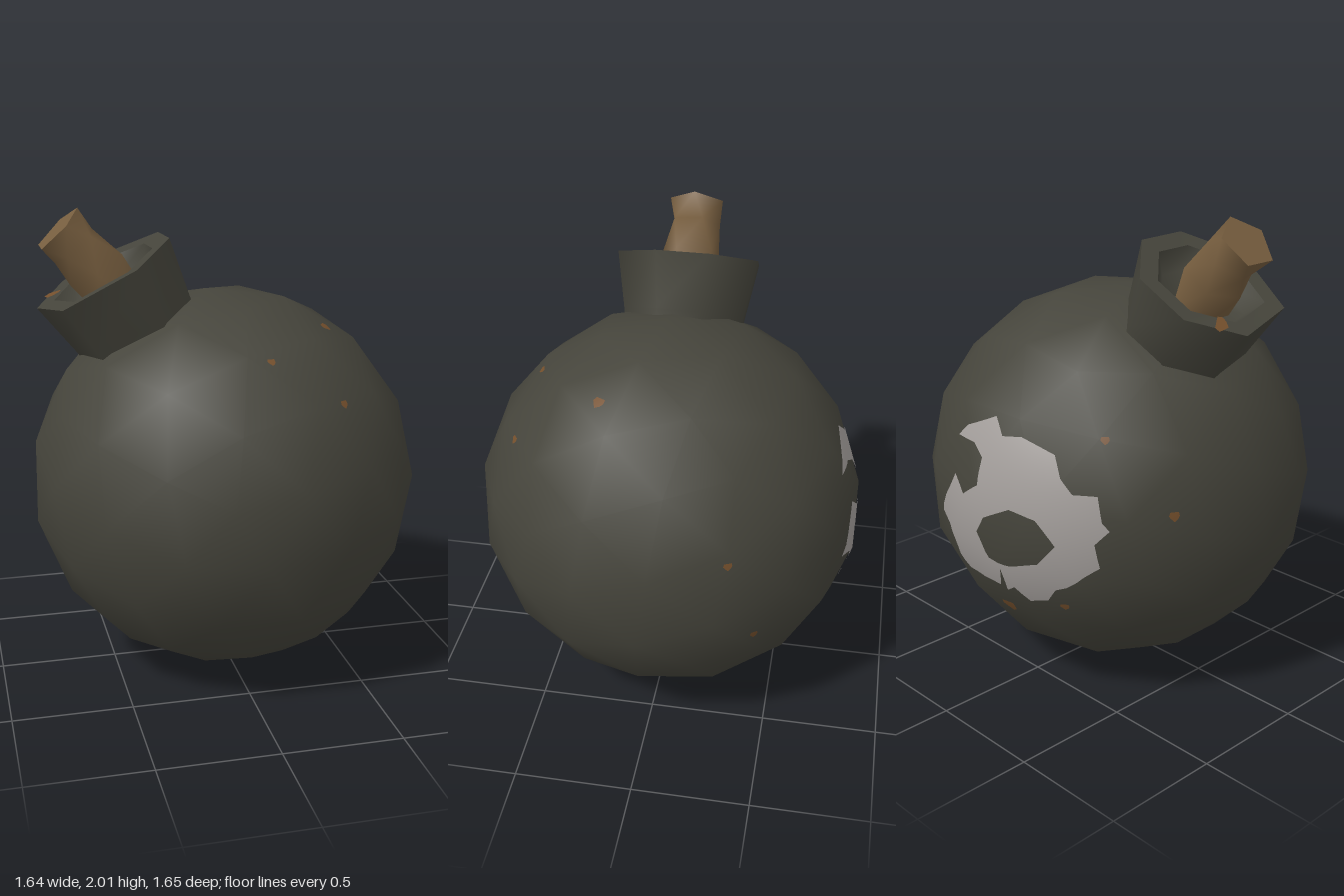
import * as THREE from 'three';

const V = (x, y, z) => new THREE.Vector3(x, y, z);
const mat = (name, color) => {
  const m = new THREE.MeshStandardMaterial({ color });
  m.name = name;
  return m;
};

// Smooth skin over a list of closed rings (each an array of Vector3)
function loft(rings) {
  const n = rings[0].length, pos = [], index = [];
  rings.forEach(r => r.forEach(p => pos.push(p.x, p.y, p.z)));
  for (let k = 0; k < rings.length - 1; k++) {
    for (let i = 0; i < n; i++) {
      const a = k * n + i, b = k * n + (i + 1) % n;
      index.push(a, a + n, b, b, a + n, b + n);
    }
  }
  const g = new THREE.BufferGeometry();
  g.setAttribute('position', new THREE.Float32BufferAttribute(pos, 3));
  g.setIndex(index);
  g.computeVertexNormals();
  return g;
}

// Low-poly ball, centred on its own origin, with a vertex under the neck
function ballGeometry(axis) {
  const g = new THREE.IcosahedronGeometry(0.835, 2);
  return g.applyQuaternion(new THREE.Quaternion().setFromUnitVectors(V(1, 1, 1).normalize(), axis));
}

// Measures the ball's faceted radius in any direction
function facetRadius(g) {
  const p = g.attributes.position, planes = [];
  const at = i => V(0, 0, 0).fromBufferAttribute(p, i);
  for (let i = 0; i < p.count; i += 3) {
    planes.push(new THREE.Plane().setFromCoplanarPoints(at(i), at(i + 1), at(i + 2)));
  }
  return d => {
    let r = Infinity;
    for (const { normal, constant } of planes) {
      const c = normal.dot(d);
      if (c > 0.1) r = Math.min(r, -constant / c);
    }
    return r;
  };
}

// Lays a flat shape, seen along direction d, onto the ball as a thin skin
function drape(shape, d, radius) {
  const right = V(0, 1, 0).cross(d).normalize(), up = d.clone().cross(right);
  const pos = [], nor = [];
  const put = q => {
    const depth = Math.sqrt(Math.max(0.01, 0.69 - q.x * q.x - q.y * q.y));
    const n = V(0, 0, 0).addScaledVector(right, q.x).addScaledVector(up, q.y)
      .addScaledVector(d, depth).normalize();
    const r = radius(n) + 0.005;
    pos.push(n.x * r, n.y * r, n.z * r);
    nor.push(n.x, n.y, n.z);
  };
  const split = (a, b, c) => {
    const ab = a.distanceTo(b), bc = b.distanceTo(c), ca = c.distanceTo(a);
    const longest = Math.max(ab, bc, ca);
    if (longest < 0.04) return [a, b, c].forEach(put);
    if (longest === bc) return split(b, c, a);
    if (longest === ca) return split(c, a, b);
    const m = a.clone().lerp(b, 0.5);
    split(a, m, c);
    split(m, b, c);
  };
  const flat = new THREE.ShapeGeometry(shape).toNonIndexed().attributes.position;
  const at = i => V(0, 0, 0).fromBufferAttribute(flat, i);
  for (let i = 0; i < flat.count; i += 3) split(at(i), at(i + 1), at(i + 2));
  const g = new THREE.BufferGeometry();
  g.setAttribute('position', new THREE.Float32BufferAttribute(pos, 3));
  g.setAttribute('normal', new THREE.Float32BufferAttribute(nor, 3));
  return g;
}

const points = list => list.map(([x, y]) => new THREE.Vector2(x / 100, y / 100));

// Small uneven blob outline
function blob(r) {
  const pts = [];
  for (let i = 0; i < 8; i++) {
    const a = i * Math.PI / 4, k = r * (1 + 0.2 * Math.sin(i * 2.3));
    pts.push(new THREE.Vector2(Math.cos(a) * k * 1.1, Math.sin(a) * k));
  }
  return new THREE.Shape(pts);
}

export function createModel() {
  const iron = mat('dark iron', 0x45443b);
  const cord = mat('brown cord', 0x775e3f);
  const rust = mat('rust', 0x744f2c);
  const bare = mat('bare metal', 0xa39e9b);
  const model = new THREE.Group();
  const add = (parent, name, geometry, material) => {
    const m = new THREE.Mesh(geometry, material);
    m.name = name;
    parent.add(m);
    return m;
  };

  // Ball
  const tilt = 0.515, axis = V(-Math.sin(tilt), Math.cos(tilt), 0);
  const body = new THREE.Group();
  body.name = 'body';
  body.position.y = 0.83;
  model.add(body);
  const ball = ballGeometry(axis);
  const radius = facetRadius(ball);
  add(body, 'ball', ball, iron);

  // Worn patch with a hole, on the back
  const patch = new THREE.Shape(points([
    [-57, 7], [-52, 11], [-38, 15], [-34, 7], [-25, 7], [-18, 4], [-11, 1], [-8, -8],
    [-3, -14], [7, -14], [9, -24], [12, -27], [6, -33], [8, -42], [1, -46], [-6, -51],
    [-11, -53], [-15, -58], [-23, -59], [-30, -54], [-34, -56], [-35, -46], [-37, -54],
    [-52, -48], [-58, -43], [-60, -30], [-66, -25], [-63, -18], [-57, -9], [-52, -17],
    [-44, -13], [-43, -2], [-48, 4]]));
  patch.holes.push(new THREE.Path(points([
    [-46, -32], [-42, -26], [-30, -22], [-18, -25], [-10, -35], [-18, -43], [-30, -44.5], [-40, -42]])));
  add(body, 'wornPatch', drape(patch, V(-0.532, 0.375, -0.76).normalize(), radius), bare);

  // Rust spots: direction and size
  [[0.40, 0.70, 0.23, 0.024], [0.07, 0.62, 0.54, 0.016], [0.36, 0.45, 0.60, 0.017],
    [0.73, 0.20, -0.35, 0.017], [0.66, -0.20, -0.46, 0.016], [-0.49, 0.38, -0.55, 0.016],
    [-0.72, 0.09, -0.40, 0.02], [-0.07, -0.43, -0.71, 0.034], [-0.365, -0.34, -0.66, 0.018],
  ].forEach(([x, y, z, r]) =>
    add(body, 'rustSpot', drape(blob(r), V(x, y, z).normalize(), radius), rust));

  // Neck: uneven seven-sided collar, built upright and then tilted
  const neck = new THREE.Group();
  neck.name = 'neck';
  neck.rotation.z = tilt;
  body.add(neck);
  const outline = [[0.305, 0.11], [0.11, 0.305], [-0.22, 0.23], [-0.305, -0.08],
    [-0.15, -0.29], [0.1, -0.305], [0.3, -0.12]];
  const ring = ([s, h]) => outline.map(([u, v]) => V(u * s, h, v * s));
  add(neck, 'collar', loft([[0.8, 0.68], [0.86, 0.8], [1, 1.04]].map(ring)), iron);
  add(neck, 'lip', loft([[1, 1.04], [0.74, 1.035]].map(ring)), iron);
  add(neck, 'mouth', loft([[0.74, 1.035], [0.58, 0.95], [0, 0.93]].map(ring)), iron);

  // Rust streak on the lip
  const streak = add(neck, 'lipRust', new THREE.ShapeGeometry(blob(0.032)), rust);
  streak.rotation.set(-Math.PI / 2, 0, -0.9);
  streak.scale.set(1.4, 0.8, 1);
  streak.position.set(-0.22, 1.044, -0.15);

  // Fuse: twisted five-sided cord leaning further out as it rises
  const fuse = new THREE.Group();
  fuse.name = 'fuse';
  model.add(fuse);
  const cordRing = ([x, y, lean, r], k) => Array.from({ length: 5 }, (_, i) => {
    const a = i * Math.PI * 0.4 + k * 0.42;
    return V(Math.cos(a) * r, 0, Math.sin(a) * r)
      .applyAxisAngle(V(0, 0, 1), lean).add(V(x, y, 0));
  });
  const path = [[-0.45, 1.62, 0.5, 0.12], [-0.535, 1.755, 0.55, 0.13],
    [-0.62, 1.85, 0.7, 0.11], [-0.692, 1.92, 0.78, 0.122]];
  const rings = path.map(cordRing);
  add(fuse, 'fuseCord', loft(rings), cord);
  const top = rings[3];
  add(fuse, 'fuseEnd', loft([top, top.map(() => V(-0.692, 1.92, 0))]), cord);

  return model;
}
